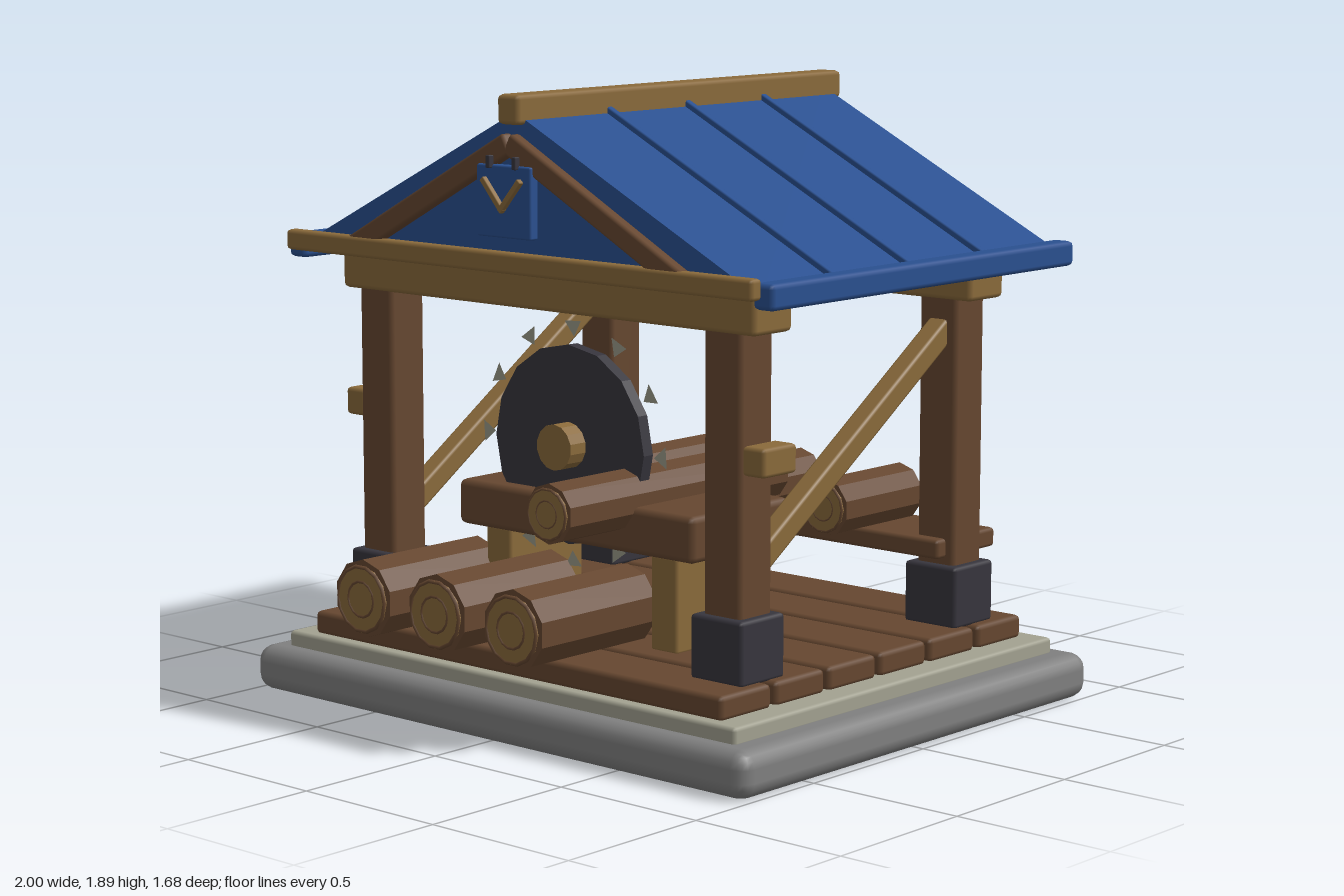
import * as THREE from 'three';
import { RoundedBoxGeometry } from 'three/addons/geometries/RoundedBoxGeometry.js';

const paint = (name, color) => {
  const m = new THREE.MeshStandardMaterial({ color });
  m.name = name;
  return m;
};

export function createModel() {
  const stone = paint('stone grey', 0x808080);
  const trim = paint('pale stone', 0xa3a291);
  const darkWood = paint('dark wood', 0x664730);
  const lightWood = paint('light wood', 0x8a6a3b);
  const blue = paint('roof blue', 0x2a5090);
  const iron = paint('dark iron', 0x37353d);
  const steel = paint('tooth steel', 0x9b9a8a);
  const tooth = steel;
  tooth.side = THREE.DoubleSide;

  const model = new THREE.Group();
  model.name = 'sawmill';

  const add = (name, geo, mat, x = 0, y = 0, z = 0, parent = model) => {
    const mesh = new THREE.Mesh(geo, mat);
    mesh.name = name;
    mesh.position.set(x, y, z);
    parent.add(mesh);
    return mesh;
  };
  // Bevelled box given by its limits on each axis
  const box = (name, mat, [x0, x1], [y0, y1], [z0, z1], r = 0.012, seg = 1) =>
    add(name, new RoundedBoxGeometry(x1 - x0, y1 - y0, z1 - z0, seg, r), mat,
      (x0 + x1) / 2, (y0 + y1) / 2, (z0 + z1) / 2);
  // Bevelled bar between two points in the plane of the front
  const barXY = (name, mat, x0, y0, x1, y1, z, wide, deep, r) => {
    const m = add(name, new RoundedBoxGeometry(Math.hypot(x1 - x0, y1 - y0), wide, deep, 1, r),
      mat, (x0 + x1) / 2, (y0 + y1) / 2, z);
    m.rotation.z = Math.atan2(y1 - y0, x1 - x0);
    return m;
  };
  const facet = (geo) => {
    const g = geo.toNonIndexed();
    g.computeVertexNormals();
    return g;
  };
  // Cylinder along z with flat sides
  const rod = (r, length, sides) =>
    facet(new THREE.CylinderGeometry(r, r, length, sides).rotateX(Math.PI / 2));

  // Log along z with ringed cut ends
  const log = (name, x, y, z0, z1, r) => {
    const g = new THREE.Group();
    g.name = name;
    g.position.set(x, y, (z0 + z1) / 2);
    model.add(g);
    const len = z1 - z0 - 0.024;
    add('bark', rod(r, len, 10), darkWood, 0, 0, 0, g);
    for (const s of [-1, 1]) {
      add('cutEnd', rod(r * 0.84, 0.012, 12), lightWood, 0, 0, s * (len / 2 + 0.005), g);
      for (const k of [0.82, 0.45]) {
        add('growthRing', new THREE.TorusGeometry(r * k, r * 0.06, 4, 14), darkWood,
          0, 0, s * (len / 2 + 0.008), g);
      }
    }
  };

  // Base and floor
  box('baseSlab', stone, [-1, 1], [0, 0.14], [-0.84, 0.805], 0.05, 2);
  box('plinth', trim, [-0.91, 0.91], [0.13, 0.187], [-0.76, 0.735], 0.012);
  for (let i = 0; i < 6; i++) {
    const z = 0.59 - i * 0.238;
    box('floorPlank', darkWood, [-0.83, 0.83], [0.182, 0.255], [z - 0.109, z + 0.109], 0.015);
  }

  // Posts, iron feet and cross beams
  for (const z of [0.48, -0.51]) {
    for (const x of [-0.7, 0.7]) {
      box('post', darkWood, [x - 0.07, x + 0.07], [0.25, 1.3], [z - 0.07, z + 0.07], 0.015);
      box('postFoot', iron, [x - 0.097, x + 0.097], [0.25, 0.44], [z - 0.095, z + 0.095], 0.012);
    }
    box('crossBeam', lightWood, [-0.83, 0.83], [1.25, 1.38], [z - 0.083, z + 0.083], 0.015);
  }

  // Side blocks and diagonal braces
  for (const s of [-1, 1]) {
    box('sideBlock', lightWood, [s * 0.805 - 0.042, s * 0.805 + 0.042], [0.85, 0.935], [0.395, 0.54], 0.012);
    const dz = -0.98, dy = 0.66;
    const brace = add('diagonalBrace', new RoundedBoxGeometry(0.07, 0.07, Math.hypot(dz, dy), 1, 0.01),
      lightWood, s * 0.7, 0.86, -0.015);
    brace.rotation.x = Math.atan2(dy, -dz);
  }

  // Roof body as a triangular prism
  const gable = new THREE.Shape([
    new THREE.Vector2(-0.93, 1.375), new THREE.Vector2(0.93, 1.375), new THREE.Vector2(0, 1.835),
  ]);
  add('roof', new THREE.ExtrudeGeometry(gable, { depth: 1.405, bevelEnabled: false }), blue, 0, 0, -0.752);

  // Eaves and roof battens on both slopes
  for (const s of [-1, 1]) {
    box('eave', blue, [s * 0.935 - 0.037, s * 0.935 + 0.037], [1.342, 1.417], [-0.755, 0.655], 0.015);
    for (const z of [0.295, -0.052, -0.405]) {
      barXY('roofBatten', blue, 0, 1.837, s * 0.9, 1.393, z, 0.03, 0.024, 0.005);
    }
  }
  box('ridgeBeam', lightWood, [-0.043, 0.043], [1.8, 1.887], [-0.785, 0.685], 0.014);

  // Front gable timbers
  box('gableBoard', lightWood, [-0.935, 0.935], [1.37, 1.432], [0.655, 0.7], 0.012);
  for (const s of [-1, 1]) {
    barXY('gableRafter', darkWood, 0, 1.748, s * 0.665, 1.395, 0.672, 0.066, 0.042, 0.01);
  }

  // Hanging sign with a pair of crossed tool handles
  box('signBoard', blue, [-0.108, 0.108], [1.475, 1.685], [0.67, 0.703], 0.006);
  for (const s of [-1, 1]) {
    barXY('toolHandle', lightWood, s * 0.075, 1.645, -s * 0.006, 1.552, 0.71, 0.018, 0.018, 0.003);
    box('signHook', iron, [s * 0.052 - 0.008, s * 0.052 + 0.008], [1.675, 1.712], [0.695, 0.715], 0.003);
  }

  // Saw table
  box('sawTable', darkWood, [-0.48, 0.477], [0.535, 0.675], [-0.025, 0.42], 0.02);
  for (const s of [-1, 1]) {
    box('tableLeg', lightWood, [s * 0.338 - 0.052, s * 0.338 + 0.052], [0.25, 0.54], [0.07, 0.39], 0.01);
  }

  // Saw blade with hub and teeth
  const saw = new THREE.Group();
  saw.name = 'saw';
  saw.position.set(-0.065, 0.82, 0.345);
  model.add(saw);
  add('blade', rod(0.303, 0.04, 16), iron, 0, 0, 0, saw);
  add('hub', rod(0.07, 0.11, 14), lightWood, 0, 0, 0.03, saw);
  const toothGeo = new THREE.ShapeGeometry(new THREE.Shape([
    new THREE.Vector2(0.325, -0.005), new THREE.Vector2(0.375, -0.033), new THREE.Vector2(0.37, 0.033),
  ]));
  for (let i = 0; i < 12; i++) {
    add('sawTooth', toothGeo, tooth, 0, 0, 0, saw).rotation.z = (i * Math.PI) / 6;
  }

  // Rear rack
  box('rackShelf', darkWood, [-0.74, 0.74], [0.46, 0.52], [-0.69, -0.4], 0.012);

  // Logs on the table, the floor and the rack
  log('tableLog', 0.16, 0.685, -0.3, 0.7, 0.09);
  for (const x of [-0.475, -0.162, 0.15]) log('floorLog', x, 0.365, 0.33, 0.84, 0.12);
  for (const x of [-0.4, 0, 0.4]) log('rackLog', x, 0.597, -0.66, -0.265, 0.09);

  return model;
}
